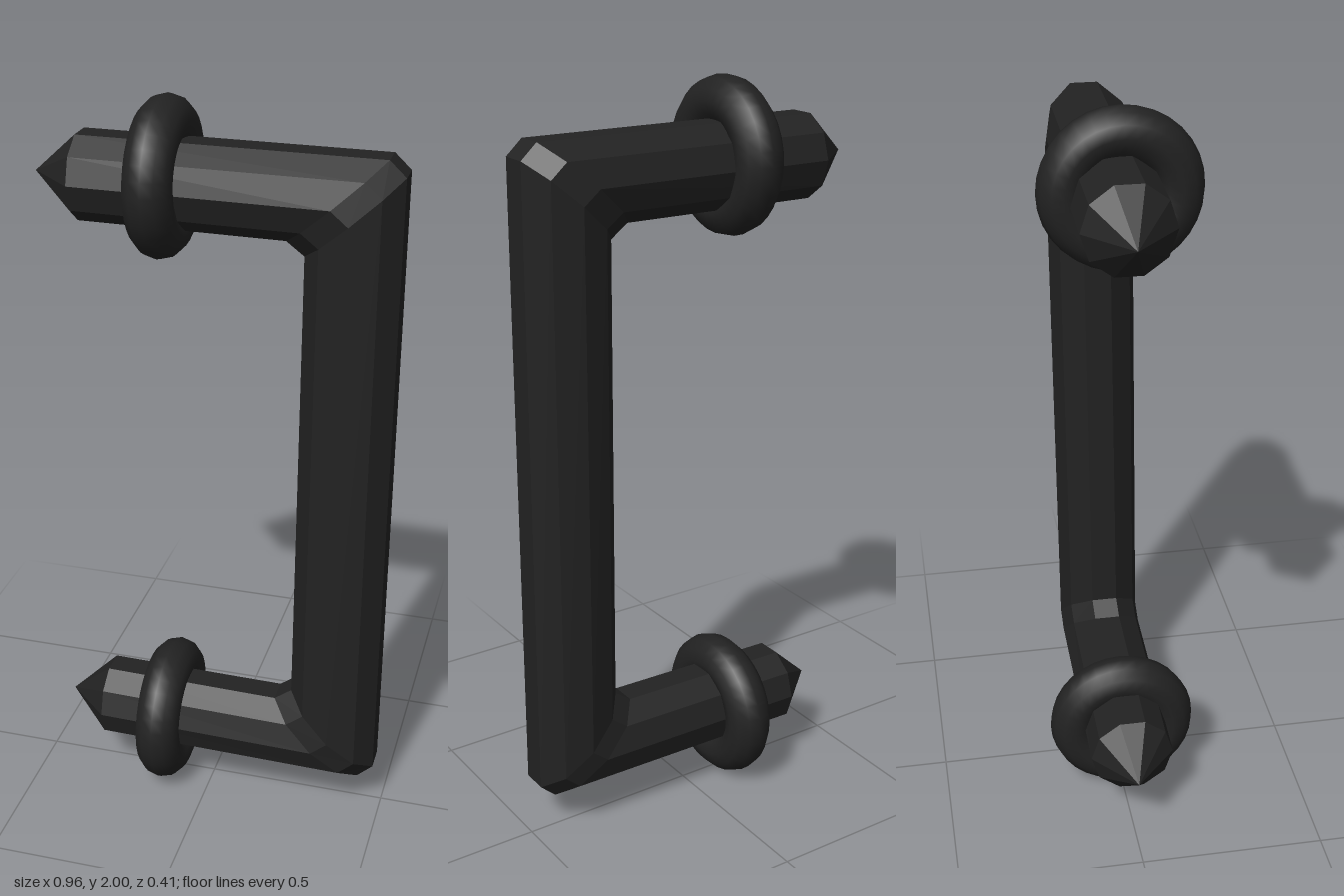
import * as THREE from 'three';

const SIDES = 10;
const material = new THREE.MeshStandardMaterial({ color: 0x222222, flatShading: true });
const smoothMaterial = new THREE.MeshStandardMaterial({ color: 0x222222 });

// Skins a run of ten-sided sections. Each section is
// [inner x, inner y, outer x, outer y, centre z, half depth]; half depth 0 is a point.
function loft(name, sections) {
  const rings = sections.map(([xi, yi, xo, yo, z, depth]) =>
    Array.from({ length: SIDES }, (_, i) => {
      const a = ((i + 0.5) / SIDES) * Math.PI * 2;
      const k = Math.cos(a) / Math.cos(Math.PI / SIDES) / 2;
      return [(xi + xo) / 2 + (xo - xi) * k, (yi + yo) / 2 + (yo - yi) * k, z + depth * Math.sin(a)];
    }));
  const positions = [];
  for (let j = 0; j < rings.length - 1; j++) {
    for (let i = 0; i < SIDES; i++) {
      const n = (i + 1) % SIDES;
      const [a, b, c, d] = [rings[j][i], rings[j][n], rings[j + 1][n], rings[j + 1][i]];
      if (sections[j][5] > 0) positions.push(...a, ...b, ...c);
      if (sections[j + 1][5] > 0) positions.push(...a, ...c, ...d);
    }
  }
  const geometry = new THREE.BufferGeometry();
  geometry.setAttribute('position', new THREE.Float32BufferAttribute(positions, 3));
  geometry.computeVertexNormals();
  const mesh = new THREE.Mesh(geometry, material);
  mesh.name = name;
  return mesh;
}

function ring(name, y, z) {
  const geometry = new THREE.TorusGeometry(0.141, 0.063, 12, 32);
  geometry.rotateY(Math.PI / 2);
  const mesh = new THREE.Mesh(geometry, smoothMaterial);
  mesh.name = name;
  mesh.position.set(-0.13, y, z);
  return mesh;
}

export function createModel() {
  const group = new THREE.Group();
  group.name = 'staple';

  // Bar: upper arm, bevelled corners, upright and lower arm
  const upperEnd = [-0.357, 1.67, -0.357, 1.89, -0.022, 0.114];
  const lowerEnd = [-0.308, 0.33, -0.308, 0.11, 0.003, 0.114];
  group.add(loft('bar', [
    upperEnd,
    [0.19, 1.67, 0.435, 1.89, -0.005, 0.117],
    [0.237, 1.635, 0.478, 1.85, -0.004, 0.117],
    [0.237, 0.365, 0.478, 0.15, 0.014, 0.117],
    [0.19, 0.33, 0.435, 0.11, 0.015, 0.117],
    lowerEnd,
  ]));

  // Pointed ends
  group.add(loft('upperSpike', [[-0.48, 1.78, -0.48, 1.78, -0.025, 0], upperEnd]));
  group.add(loft('lowerSpike', [lowerEnd, [-0.431, 0.217, -0.431, 0.217, 0.0, 0]]));

  // Retaining rings
  group.add(ring('upperRing', 1.796, -0.003));
  group.add(ring('lowerRing', 0.207, 0.003));
  return group;
}
